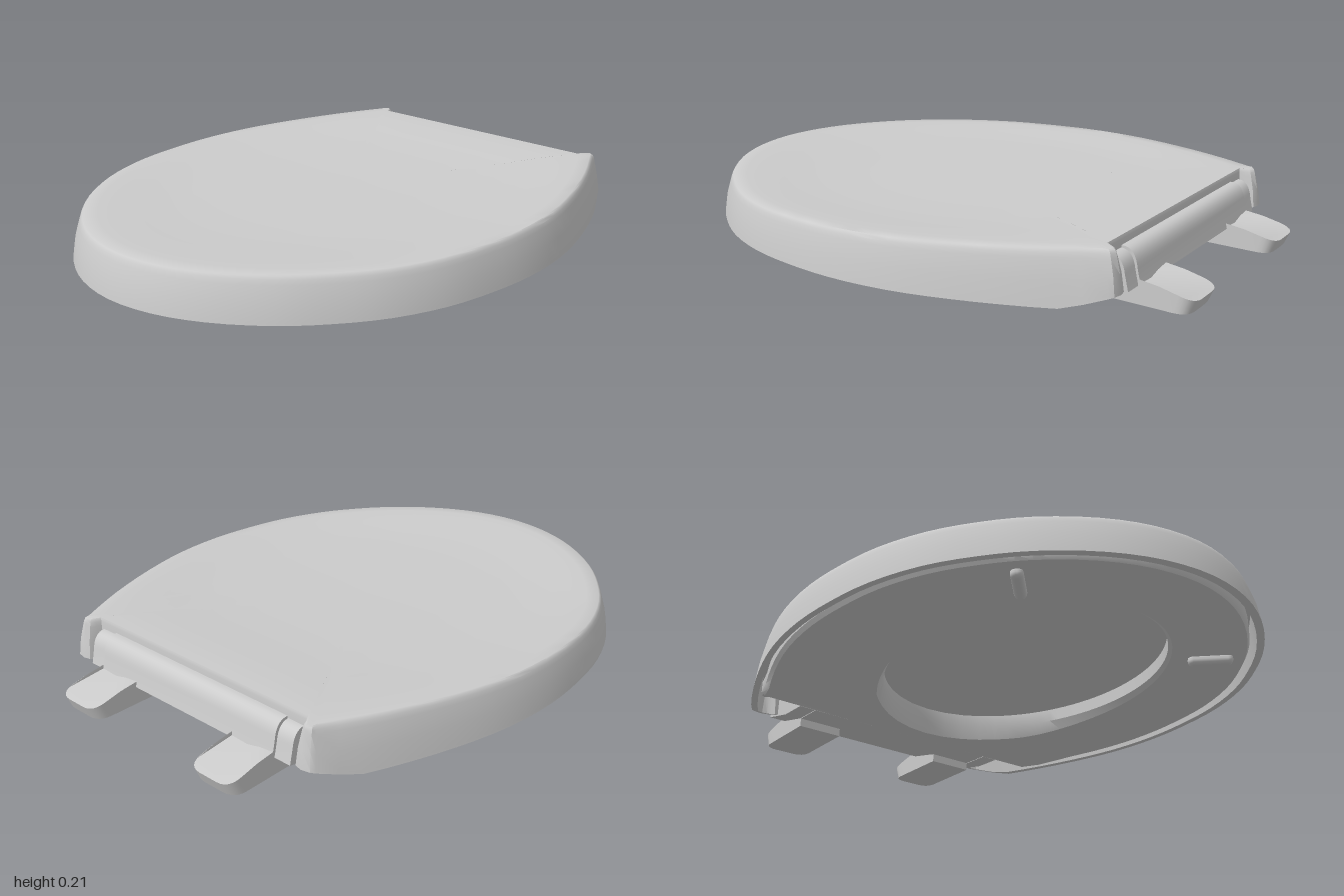
import * as THREE from 'three';
import { toCreasedNormals } from 'three/addons/utils/BufferGeometryUtils.js';
import { RoundedBoxGeometry } from 'three/addons/geometries/RoundedBoxGeometry.js';

const material = new THREE.MeshStandardMaterial({ color: 0xcccccc });
const { clamp, lerp, smoothstep } = THREE.MathUtils;
const HOLLOW = 0.14; // height of the lid's underside
const SEAT_TOP = 0.1;

// Egg-shaped plan, [x, z] from the front tip to the back corner
const plan = [
  [0, 1], [0.17, 0.975], [0.33, 0.905], [0.49, 0.785], [0.6, 0.66], [0.69, 0.52], [0.755, 0.35],
  [0.785, 0.18], [0.795, 0], [0.775, -0.2], [0.722, -0.4], [0.637, -0.62], [0.542, -0.81],
];
const mirrored = plan.slice(1).reverse().map(([x, z]) => [-x, z]);
const curve = new THREE.CatmullRomCurve3(
  [...mirrored, ...plan].map(([x, z]) => new THREE.Vector3(x, 0, z)));
const half = curve.getPoints(72).slice(36).map((p, i) => [i ? p.x : 0, p.z]);

// Closes a half outline into a full loop by mirroring it
function mirrorLoop(points) {
  const back = points.filter(([x]) => x > 1e-4).reverse().map(([x, z]) => [-x, z]);
  return [...points, ...back];
}

// Skins a list of rings of equal length
function loft(rings, crease) {
  const n = rings[0].length;
  const index = [];
  for (let i = 0; i < rings.length - 1; i++) {
    for (let j = 0; j < n; j++) {
      const a = i * n + j, a2 = i * n + ((j + 1) % n);
      index.push(a, a + n, a2 + n, a, a2 + n, a2);
    }
  }
  const geometry = new THREE.BufferGeometry();
  geometry.setAttribute('position', new THREE.Float32BufferAttribute(rings.flat(2), 3));
  geometry.setIndex(index);
  return toCreasedNormals(geometry.toNonIndexed(), crease);
}

function add(group, name, geometry) {
  const mesh = new THREE.Mesh(geometry, material);
  mesh.name = name;
  group.add(mesh);
  return mesh;
}

// Lid: slightly dished top, rounded shoulder, drafted wall, notch for the hinge, hollow below
function lidGeometry() {
  // Back ear and notch: [x, z] at the foot of the wall, then at the shoulder
  const tail = [
    [0.53, -0.822, 0.515, -0.79], [0.5, -0.828, 0.5, -0.8], [0.475, -0.822, 0.488, -0.79],
    [0.465, -0.8, 0.482, -0.775], [0.462, -0.772, 0.474, -0.762],
    [0.3, -0.77, 0.3, -0.762], [0.15, -0.77, 0.15, -0.762], [0, -0.77, 0, -0.762],
  ];
  const outer = mirrorLoop([...half, ...tail.map(([x, z]) => [x, z])]);
  const shoulder = mirrorLoop([
    ...half.map(([x, z]) => [x * 0.955, z * 0.955]), ...tail.map(([, , x, z]) => [x, z])]);
  const topY = (z) => 0.181 + 0.034 * Math.pow(clamp((0.5 - z) / 1.25, 0, 1), 1.4);
  const bottomY = (z) => 0.042 + 0.04 * clamp((-0.7 - z) / 0.12, 0, 1);
  const wall = (t, y) => outer.map(([x, z], i) => {
    const pz = lerp(z, shoulder[i][1], t);
    return [lerp(x, shoulder[i][0], t), y(pz), pz];
  });
  const inner = (s, y) => shoulder.map(([x, z]) => [x * s, y(z * s), z * s]);
  const dished = (s) => inner(s, (z) =>
    topY(z) - 0.014 * (1 - smoothstep(s, 0.6, 1)) * clamp((z + 0.77) / 0.4, 0, 1));
  return loft([
    ...[0, 0.2, 0.4, 0.6, 0.7, 0.8, 0.88, 0.95].map(dished),
    ...[[1, 0.001], [0.88, 0.004], [0.74, 0.013], [0.62, 0.027]]
      .map(([t, drop]) => wall(t, (z) => topY(z) - drop)),
    wall(0.25, (z) => lerp(bottomY(z), topY(z), 0.45)),
    wall(0.03, (z) => bottomY(z) + 0.008),
    wall(0, bottomY), wall(0.6, bottomY),
    wall(0.9, () => HOLLOW), inner(0, () => HOLLOW),
  ], 0.6);
}

// Seat: ring around an oval opening, its underside sagging towards the back
function seatGeometry() {
  const side = half.map(([x, z]) => [x * 0.95, z * 0.95]).filter(([, z]) => z > -0.58);
  const loop = mirrorLoop([...side, ...[0.61, 0.5, 0.4, 0.3, 0.2, 0.1, 0].map((x) => [x, -0.6])]);
  const cz = 0.13;
  const hole = loop.map(([x, z]) => {
    const t = Math.atan2(x / 0.43, (z - cz) / 0.56);
    return [0.43 * Math.sin(t), cz + 0.56 * Math.cos(t)];
  });
  const bottom = (x, z) => 0.045 - 0.045 * Math.pow(clamp((0.5 - z) / 1, 0, 1), 1.2)
    * clamp((0.68 - Math.abs(x)) / 0.3, 0, 1) * clamp((z + 0.59) / 0.09, 0, 1);
  const ring = (t, y) => loop.map(([x, z], i) => {
    const px = lerp(x, hole[i][0], t), pz = lerp(z, hole[i][1], t);
    return [px, y ?? bottom(px, pz), pz];
  });
  const rings = [ring(0, SEAT_TOP), ring(0, 0.06), ring(0.03)];
  for (let i = 1; i <= 8; i++) rings.push(ring(0.03 + i * 0.115));
  rings.push(ring(1, 0.055), ring(1, SEAT_TOP), ring(0, SEAT_TOP));
  return loft(rings, 0.5);
}

// Hinge section, drawn as (distance behind centre, height) and extruded along x
function hingeGeometry(x0, x1, shrink = 0) {
  const rear = 0.832 - shrink, top = 0.185 - shrink;
  const s = new THREE.Shape();
  s.moveTo(0.59, 0.043);
  s.lineTo(0.7, 0.046);
  s.lineTo(rear, 0.075);
  s.lineTo(rear - 0.012, 0.125);
  s.quadraticCurveTo(rear - 0.02, top, rear - 0.06, top);
  s.lineTo(0.75, top);
  s.lineTo(0.72, 0.13);
  s.lineTo(0.59, SEAT_TOP);
  const g = new THREE.ExtrudeGeometry(s, { depth: x1 - x0, bevelEnabled: false, curveSegments: 8 });
  g.rotateY(Math.PI / 2).translate(x0, 0, 0);
  return toCreasedNormals(g, 0.5);
}

// Mounting foot: rounded tongue whose top curves down to the back
function footGeometry() {
  const w = 0.085, r = 0.05;
  const s = new THREE.Shape();
  s.moveTo(-w, 0.7);
  s.lineTo(w, 0.7);
  for (const u of [0.83, 0.89, 1 - r]) s.lineTo(w, u);
  s.quadraticCurveTo(w, 1, w - r, 1);
  s.lineTo(r - w, 1);
  s.quadraticCurveTo(-w, 1, -w, 1 - r);
  for (const u of [0.89, 0.83]) s.lineTo(-w, u);
  const g = new THREE.ExtrudeGeometry(s, { depth: 1, bevelEnabled: false, curveSegments: 6 });
  g.rotateX(-Math.PI / 2);
  const p = g.attributes.position;
  for (let i = 0; i < p.count; i++) {
    const back = -p.getZ(i);
    if (p.getY(i) > 0.5) p.setY(i, 0.093 - 0.035 * Math.pow(clamp((back - 0.83) / 0.17, 0, 1), 1.5));
    else p.setXYZ(i, p.getX(i), 0.016, -(0.7 + (back - 0.7) * 0.94));
  }
  return toCreasedNormals(g, 0.6);
}

export function createModel() {
  const model = new THREE.Group();
  model.name = 'toiletSeat';
  add(model, 'lid', lidGeometry());
  add(model, 'seatRing', seatGeometry());
  add(model, 'hingeBar', hingeGeometry(-0.392, 0.392));

  for (const side of [1, -1]) {
    const label = side > 0 ? 'left' : 'right';
    add(model, label + 'HingeKnuckle', hingeGeometry(side * 0.426 - 0.031, side * 0.426 + 0.031, 0.006));
    add(model, label + 'MountingFoot', footGeometry()).position.x = side * 0.307;

    // Bumper pad under the front of the seat
    const bumper = add(model, label + 'Bumper', new RoundedBoxGeometry(0.15, 0.04, 0.04, 3, 0.018));
    bumper.position.set(side * 0.415, 0.038, 0.62);
    bumper.rotation.y = -side * Math.PI / 4;
  }
  return model;
}
